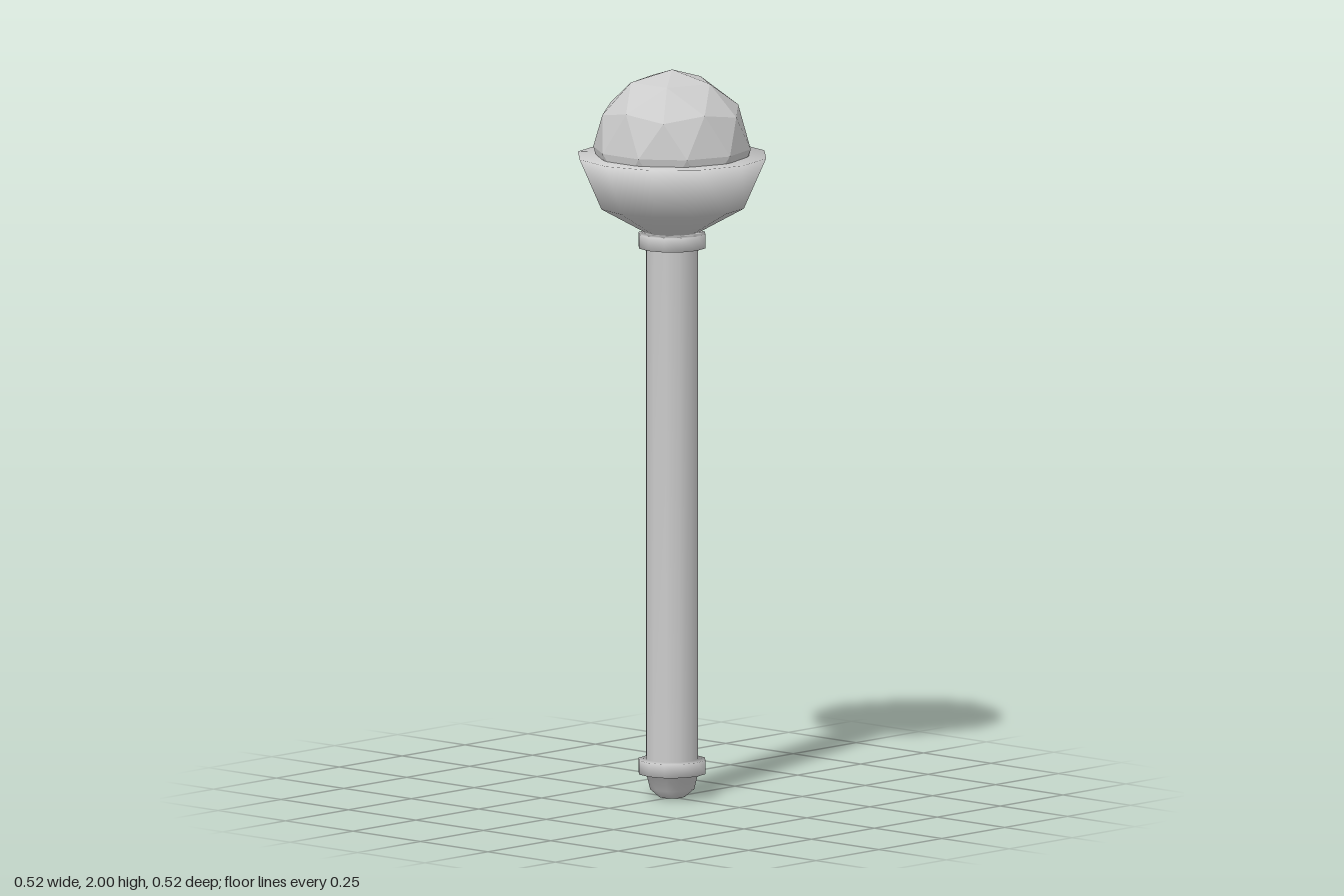
import * as THREE from 'three';

export function createModel() {
  const group = new THREE.Group();
  group.name = 'scepter';

  // Shaft, collars and cup: one continuous 12-sided turned piece with smooth normals
  const profile = [
    [0, 0], [0.035, 0.002], [0.062, 0.025], [0.072, 0.065], // pommel
    [0.093, 0.067], [0.093, 0.105], [0.072, 0.107],         // lower collar
    [0.072, 1.51], [0.093, 1.512], [0.093, 1.55],           // shaft, upper collar
    [0.075, 1.555], [0.2, 1.625], [0.262, 1.765],           // cup
    [0, 1.765],                                             // cup top
  ].map(([r, y]) => new THREE.Vector2(r, y));
  const shaft = new THREE.Mesh(
    new THREE.LatheGeometry(profile, 12),
    new THREE.MeshStandardMaterial({ color: 0xcccccc })
  );
  shaft.name = 'shaftAndCup';
  group.add(shaft);

  // Faceted orb, turned so that one corner points straight up
  const orbGeometry = new THREE.IcosahedronGeometry(0.215, 1);
  orbGeometry.rotateZ(-Math.atan(2 / (1 + Math.sqrt(5))));
  const orb = new THREE.Mesh(
    orbGeometry,
    new THREE.MeshStandardMaterial({ color: 0xcccccc, flatShading: true })
  );
  orb.name = 'orb';
  orb.position.y = 1.785;
  group.add(orb);

  return group;
}
